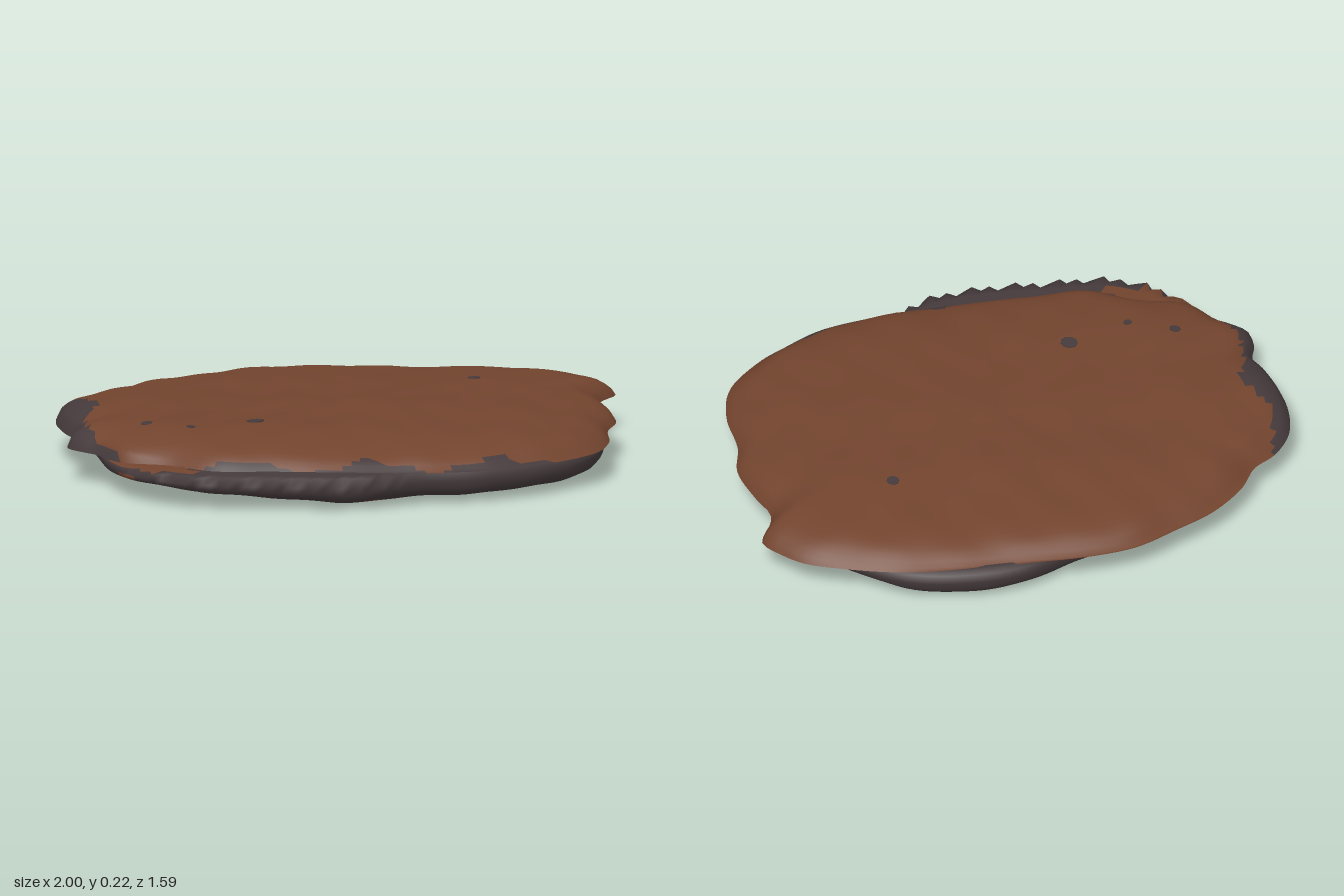
import * as THREE from 'three';

const SEGMENTS = 180;
const brown = new THREE.MeshStandardMaterial({ color: 0x72442e, side: THREE.DoubleSide });
brown.name = 'rust brown stone';
const grey = new THREE.MeshStandardMaterial({ color: 0x453a3c, side: THREE.DoubleSide });
grey.name = 'dark grey stone';

// Outlines as [x, z], running from the left side round the back
const topOutline = [
  [1, -0.22], [0.97, -0.31], [0.92, -0.39], [0.82, -0.47], [0.66, -0.57], [0.46, -0.65], [0.22, -0.72],
  [0.05, -0.77], [-0.13, -0.795], [-0.3, -0.765], [-0.45, -0.73], [-0.6, -0.65], [-0.69, -0.565],
  [-0.78, -0.53], [-0.88, -0.44], [-0.945, -0.28], [-0.955, -0.12], [-0.945, -0.02], [-0.985, 0.05],
  [-1, 0.1], [-0.965, 0.17], [-0.935, 0.21], [-0.88, 0.35], [-0.74, 0.45], [-0.62, 0.57], [-0.42, 0.63],
  [-0.2, 0.7], [0, 0.75], [0.12, 0.77], [0.3, 0.78], [0.45, 0.745], [0.56, 0.71], [0.72, 0.61],
  [0.8, 0.47], [0.84, 0.3], [0.9, 0.18], [0.91, 0.02], [0.905, -0.09], [0.94, -0.15],
];
const baseOutline = [
  [0.87, 0], [0.85, -0.28], [0.76, -0.46], [0.64, -0.59], [0.46, -0.685], [0.25, -0.73], [0, -0.69],
  [-0.2, -0.68], [-0.4, -0.62], [-0.6, -0.51], [-0.76, -0.35], [-0.86, -0.15], [-0.9, 0.1], [-0.9, 0.37],
  [-0.84, 0.5], [-0.72, 0.62], [-0.5, 0.7], [-0.3, 0.765], [-0.12, 0.79], [0.05, 0.76], [0.3, 0.77],
  [0.55, 0.7], [0.7, 0.58], [0.8, 0.4], [0.85, 0.2],
];

const bell = (t, centre, width) => Math.exp(-(((t - centre) / width) ** 2));

// Rock relief in roughly -1..1
function relief(x, z) {
  return 0.4 * Math.sin(5.1 * x + 2.3 * z + 0.6) * Math.cos(4.3 * z - 1.7 * x)
    + 0.35 * Math.sin(11 * x - 7 * z + 1) * Math.sin(9 * z + 5 * x)
    + 0.25 * Math.sin(23 * x + 9 * z) * Math.cos(19 * z - 8 * x);
}

// Concentric rings shrunk from an outline; each profile entry is [scale, height]
function shell(name, outline, profile, shape, isGrey, flip) {
  const curve = new THREE.CatmullRomCurve3(outline.map(([x, z]) => new THREE.Vector3(x, 0, z)), true);
  const edge = curve.getSpacedPoints(SEGMENTS);
  const points = [], browns = [], greys = [];
  profile.forEach(([s, y], r) => {
    for (let i = 0; i < SEGMENTS; i++) points.push(shape(edge[i].x * s, y, edge[i].z * s, r, i));
  });
  for (let r = 0; r < profile.length - 1; r++) {
    for (let i = 0; i < SEGMENTS; i++) {
      const j = (i + 1) % SEGMENTS;
      const a = r * SEGMENTS + i, b = r * SEGMENTS + j, c = a + SEGMENTS, d = b + SEGMENTS;
      for (const [p, q, s] of [[a, b, c], [b, d, c]]) {
        const [x, y, z] = [0, 1, 2].map((k) => (points[p][k] + points[q][k] + points[s][k]) / 3);
        (isGrey(x, y, z, r) ? greys : browns).push(...(flip ? [p, s, q] : [p, q, s]));
      }
    }
  }
  const geometry = new THREE.BufferGeometry();
  geometry.setAttribute('position', new THREE.Float32BufferAttribute(points.flat(), 3));
  geometry.setIndex([...browns, ...greys]);
  geometry.addGroup(0, browns.length, 0);
  geometry.addGroup(browns.length, greys.length, 1);
  geometry.computeVertexNormals();
  const mesh = new THREE.Mesh(geometry, [brown, grey]);
  mesh.name = name;
  return mesh;
}

// Inner limit of the grey strip on the right flank, as [z, x]
const flank = [[-0.54, -0.77], [-0.35, -0.86], [-0.18, -0.815], [-0.08, -0.89], [0.05, -0.93], [0.2, -0.925], [0.37, -0.87]];
function onFlank(x, z) {
  const k = flank.findIndex(([limit]) => limit > z);
  if (k < 1) return false;
  const [z0, x0] = flank[k - 1], [z1, x1] = flank[k];
  return x < x0 + ((x1 - x0) * (z - z0)) / (z1 - z0);
}

export function createModel() {
  const group = new THREE.Group();
  group.name = 'flat rock slab';

  // Upper half: domed cap with a ragged rim
  const capProfile = [[1, 0.118], [0.985, 0.142], [0.965, 0.157], [0.94, 0.171], [0.915, 0.181], [0.89, 0.188],
    [0.86, 0.194], [0.82, 0.199], [0.77, 0.203], [0.71, 0.206], [0.64, 0.208], [0.56, 0.209], [0.48, 0.21],
    [0.4, 0.21], [0.32, 0.21], [0.24, 0.21], [0.16, 0.21], [0.08, 0.21], [0, 0.21]];
  const cap = shell('upperSlab', topOutline, capProfile,
    (x, y, z, r) => {
      if (r === 0) return [x, y, z];
      const fall = (z > 0 ? 0.03 : 0.048) * z * z;
      const flankRise = 0.012 * THREE.MathUtils.smoothstep(-x, 0.75, 0.9);
      return [x, y - fall + flankRise + 0.012 * relief(x, z) * Math.min(1, r / 4), z];
    },
    (x, y, z) => {
      if (x < -0.7 && z < 0.37) return onFlank(x, z);
      const patch = Math.max(bell(x, 0.32, 0.13), bell(x, -0.08, 0.12), bell(x, -0.5, 0.12));
      return z > 0.5 && x < 0.6 && y < 0.118 + 0.036 * patch + 0.006 * Math.sin(41 * x);
    }, false);
  group.add(cap);

  // Lower half: grey lip and side wall, brown underside
  const baseProfile = [[0.8, 0.125], [0.9, 0.121], [0.95, 0.119], [1, 0.116], [1, 0.085], [0.993, 0.06], [0.975, 0.043],
    [0.945, 0.031], [0.91, 0.023], [0.87, 0.018], [0.82, 0.015], [0.76, 0.013], [0.68, 0.012], [0.58, 0.011],
    [0.47, 0.01], [0.36, 0.01], [0.24, 0.01], [0.12, 0.01], [0, 0.01]];
  group.add(shell('lowerSlab', baseOutline, baseProfile,
    (x, y, z, r, i) => {
      if (r < 4) {
        // Splintered lip along the front right
        const splinter = r === 3 && x < 0 && z > 0.42;
        const jag = splinter ? 1.012 - 0.045 * (((i * 7) % 5) / 4) : 1;
        return [x * jag, y, z * jag];
      }
      const blend = Math.min(1, (r - 3) / 4);
      const lift = 0.055 * Math.max(0, -x - 0.2) + 0.018 * bell(z, -0.42, 0.13) - 0.012 * bell(z, -0.63, 0.07);
      return [x, Math.max(0, y + blend * (lift + 0.01 * relief(x + 2, z))), z];
    },
    (x, y, z, r) => {
      if (r < 3) return x > -0.66 || z < 0.3 || (r === 2 && z > 0.52);
      const ragged = 0.08 * Math.sin(7 * x + 4 * z) + 0.035 * Math.sin(19 * x - 13 * z);
      const worn = x < -0.3 && z > 0.35 ? 0.05 : 0;
      const broad = x > 0.2 && z > 0.1 ? 0.04 : 0;
      return r < 4 || baseProfile[r][0] > 0.87 + ragged + worn - broad;
    }, true));

  // Grey mineral spots lying flush on the top face
  const down = new THREE.Vector3(0, -1, 0);
  for (const [x, z, radius] of [[0.5, -0.205, 0.022], [-0.74, 0.16, 0.02], [-0.38, 0.24, 0.03], [-0.61, 0.26, 0.015]]) {
    const [hit] = new THREE.Raycaster(new THREE.Vector3(x, 1, z), down).intersectObject(cap);
    const spot = new THREE.Mesh(new THREE.CylinderGeometry(radius, radius, 0.004, 9), grey);
    spot.position.copy(hit.point);
    spot.quaternion.setFromUnitVectors(new THREE.Vector3(0, 1, 0), hit.face.normal);
    spot.name = 'mineralSpot';
    group.add(spot);
  }
  return group;
}
